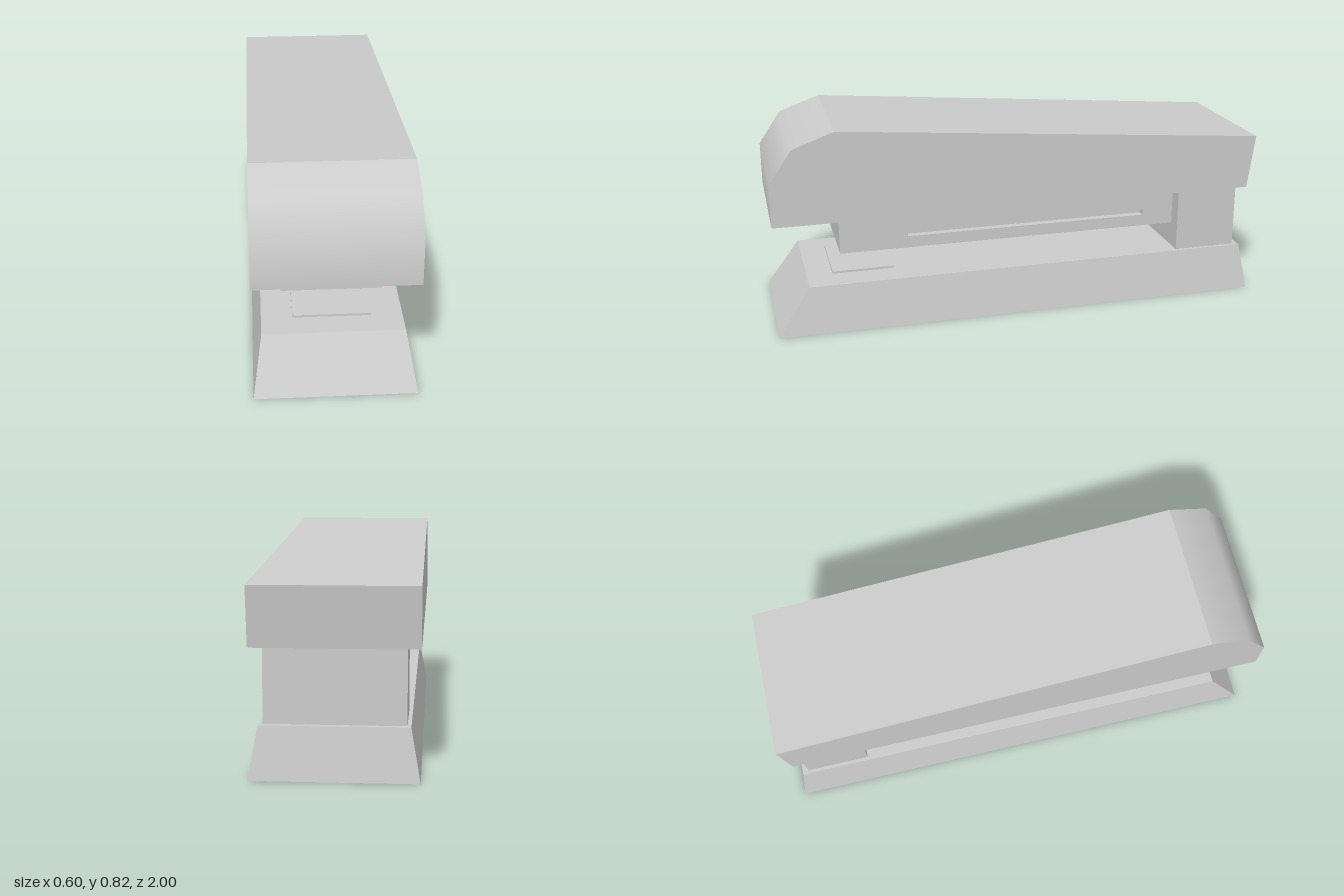
import * as THREE from 'three';

const grey = new THREE.MeshStandardMaterial({ color: 0xcccccc });

function part(name, geometry) {
  const mesh = new THREE.Mesh(geometry, grey);
  mesh.name = name;
  return mesh;
}

// Box given by its limits on each axis
function box([x0, x1], [y0, y1], [z0, z1]) {
  return new THREE.BoxGeometry(x1 - x0, y1 - y0, z1 - z0)
    .translate((x0 + x1) / 2, (y0 + y1) / 2, (z0 + z1) / 2);
}

// Side profile of [z, y] points, extruded across x and centred on x = 0
function sideExtrude(profile, width, hole) {
  const toPoints = list => list.map(([z, y]) => new THREE.Vector2(-z, y));
  const shape = new THREE.Shape(toPoints(profile));
  if (hole) shape.holes.push(new THREE.Path(toPoints(hole)));
  return new THREE.ExtrudeGeometry(shape, { depth: width, bevelEnabled: false })
    .translate(0, 0, -width / 2)
    .rotateY(Math.PI / 2);
}

const rect = (z0, z1, y0, y1) => [[z0, y0], [z0, y1], [z1, y1], [z1, y0]];

// Blend normals over the rounded nose only, keeping its outer edges sharp
function smoothNose(geometry) {
  const p = geometry.attributes.position, n = geometry.attributes.normal;
  const sums = new Map();
  const nose = [];
  for (let i = 0; i < p.count; i++) {
    if (n.getZ(i) < 0.2) continue;
    const key = p.getY(i).toFixed(3) + ',' + p.getZ(i).toFixed(3);
    if (!sums.has(key)) sums.set(key, new Map());
    const normal = new THREE.Vector3().fromBufferAttribute(n, i);
    sums.get(key).set(normal.z.toFixed(3), normal);
    nose.push([i, key]);
  }
  for (const [i, key] of nose) {
    const sum = new THREE.Vector3();
    sums.get(key).forEach(v => sum.add(v));
    sum.normalize();
    n.setXYZ(i, sum.x, sum.y, sum.z);
  }
  return geometry;
}

export function createModel() {
  const model = new THREE.Group();
  model.name = 'stapler';

  // Base: a box tapered towards its top, most of all at the front
  const base = box([-0.3, 0.3], [0, 0.19], [-1, 1]);
  const p = base.attributes.position;
  for (let i = 0; i < p.count; i++) {
    if (p.getY(i) < 0.1) continue;
    p.setX(i, Math.sign(p.getX(i)) * 0.266);
    p.setZ(i, p.getZ(i) > 0 ? 0.87 : -0.97);
  }
  base.computeVertexNormals();
  model.add(part('base', base));

  // Small plate under the staple exit
  model.add(part('anvilPlate', box([-0.148, 0.148], [0.19, 0.199], [0.515, 0.765])));

  // Rear block joining base and arm
  model.add(part('hingeBlock', box([-0.252, 0.252], [0.19, 0.462], [-0.945, -0.685])));

  // Magazine: a core with a slotted panel on each side
  const magazine = new THREE.Group();
  magazine.name = 'magazine';
  const depth = 0.03, half = 0.19;
  magazine.add(part('magazineCore',
    box([-half + depth, half - depth], [0.29, 0.462], [-0.685, 0.735])));
  for (const side of [1, -1]) {
    const panel = sideExtrude(rect(-0.685, 0.735, 0.29, 0.462), depth,
      rect(-0.55, 0.46, 0.338, 0.36));
    panel.translate(side * (half - depth / 2), 0, 0);
    magazine.add(part(side > 0 ? 'leftSlottedPanel' : 'rightSlottedPanel', panel));
  }
  model.add(magazine);

  // Top arm with a rounded nose and a sloping back
  const arm = sideExtrude([
    [1, 0.462], [1, 0.632], [0.91, 0.765], [0.745, 0.825], [-1, 0.682], [-0.97, 0.462],
  ], 0.6);
  model.add(part('topArm', smoothNose(arm)));

  return model;
}
